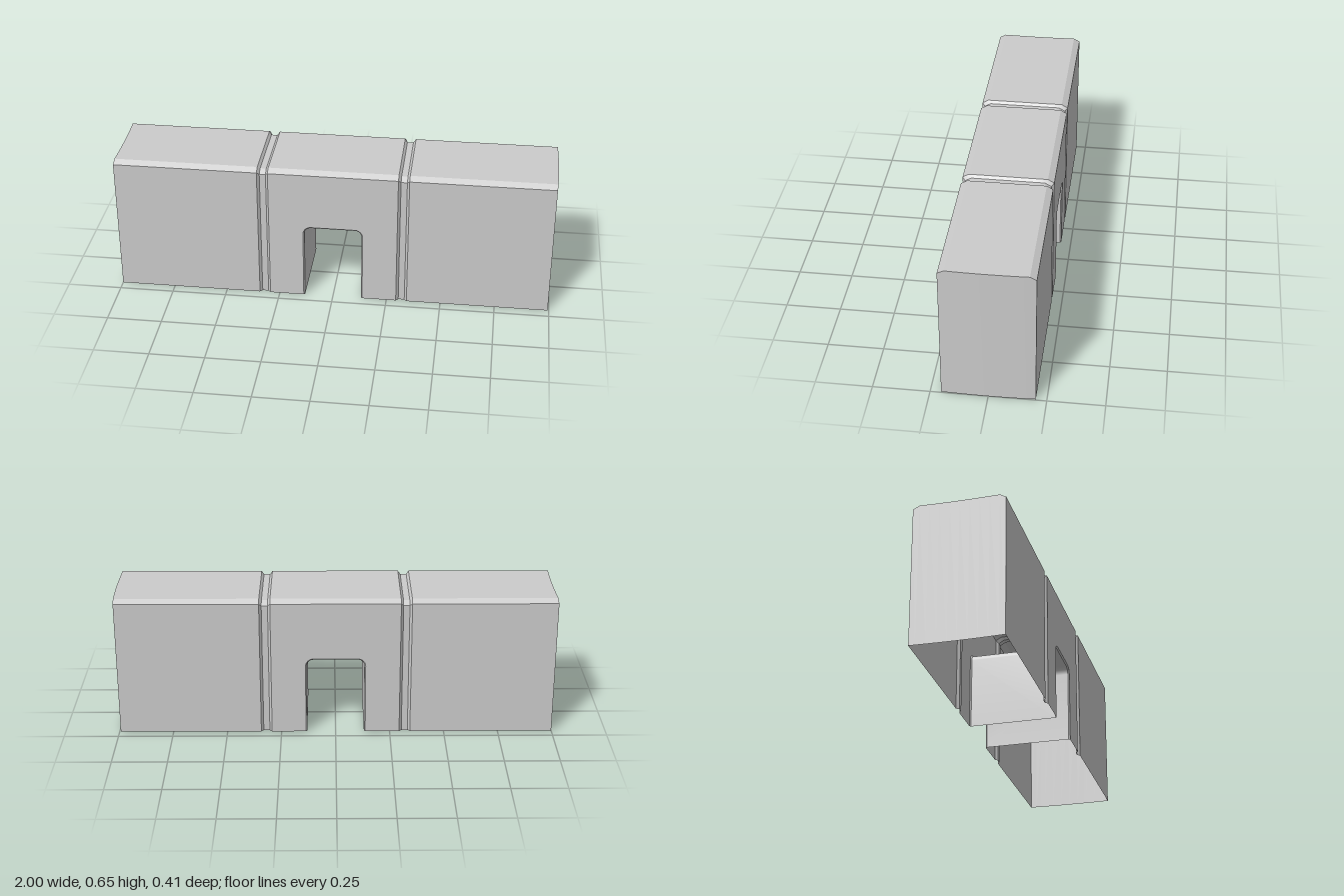
import * as THREE from 'three';
import { toCreasedNormals } from 'three/addons/utils/BufferGeometryUtils.js';

const HALF = 0.203;        // half thickness of the wall
const TOP = 0.651;         // wall height
const SHOULDER = 0.635;    // where the top chamfer starts
const FLAT = 0.175;        // half width of the flat top
const SAG = 0.005;         // bow of the end faces
const GROOVE = [0.294, 0.305, 0.333, 0.344];
const INSET = 0.012;

const material = new THREE.MeshStandardMaterial({ color: 0xcccccc, side: THREE.DoubleSide });

// Skin a grid of points, given as rows of [x, y, z]
function skin(name, rows) {
  const n = rows[0].length;
  const index = [];
  for (let i = 0; i < rows.length - 1; i++) {
    for (let j = 0; j < n - 1; j++) {
      const a = i * n + j, b = a + n;
      index.push(a, b, b + 1, a, b + 1, a + 1);
    }
  }
  const geometry = new THREE.BufferGeometry();
  geometry.setAttribute('position', new THREE.Float32BufferAttribute(rows.flat(2), 3));
  geometry.setIndex(index);
  const mesh = new THREE.Mesh(toCreasedNormals(geometry, 0.45), material);
  mesh.name = name;
  return mesh;
}

// Cross-section of the wall from the front foot over the top to the back foot
function section(x, inset = 0, bow = 0) {
  const points = [[HALF - inset, 0], [HALF - inset, SHOULDER - inset]];
  for (let k = 0; k <= 8; k++) points.push([(FLAT - inset) * (1 - k / 4), TOP - inset]);
  points.push([inset - HALF, SHOULDER - inset], [inset - HALF, 0]);
  return points.map(([z, y]) => [x + bow * (1 - (z / HALF) ** 2), y, z]);
}

// Doorway outline, grown outwards by g
function doorway(g) {
  const r = 0.03 + g, cx = 0.101, cy = 0.331;
  const points = [[-cx - r, 0]];
  for (const side of [-1, 1]) {
    for (let k = 0; k <= 6; k++) {
      const t = (side < 0 ? Math.PI : Math.PI / 2) - (k / 6) * Math.PI / 2;
      points.push([side * cx + r * Math.cos(t), cy + r * Math.sin(t)]);
    }
  }
  points.push([cx + r, 0]);
  return points;
}

export function createModel() {
  const group = new THREE.Group();
  group.name = 'wallWithDoorway';

  // End blocks: one end bows inwards and the other outwards
  const rightEnd = section(-1, 0, SAG);
  const leftEnd = section(1 - SAG, 0, SAG);
  group.add(skin('rightBlock', [rightEnd, section(-GROOVE[3])]));
  group.add(skin('leftBlock', [section(GROOVE[3]), leftEnd]));

  // End faces
  const upper = (ring) => ring.slice(1, -1);
  const foot = (ring) => upper(ring).map(([x, , z]) => [x, 0, z]);
  group.add(skin('rightEndFace', [foot(rightEnd), upper(rightEnd)]));
  group.add(skin('leftEndFace', [upper(leftEnd), foot(leftEnd)]));

  // Grooves running over the wall
  const groove = GROOVE.map((x, i) => [x, i === 1 || i === 2 ? INSET : 0]);
  group.add(skin('leftGroove', groove.map(([x, d]) => section(x, d))));
  group.add(skin('rightGroove', groove.map(([x, d]) => section(-x, d)).reverse()));

  // Top of the middle block
  const w = GROOVE[0];
  group.add(skin('middleTop', [upper(section(-w)), upper(section(w))]));

  // Front and back panels around the doorway
  const bevel = 0.006;
  const outline = [[w, 0], [w, SHOULDER], [-w, SHOULDER], [-w, 0], ...doorway(bevel)];
  const panel = new THREE.ShapeGeometry(
    new THREE.Shape(outline.map(([x, y]) => new THREE.Vector2(x, y))));
  for (const [name, side] of [['frontPanel', 1], ['backPanel', -1]]) {
    const mesh = new THREE.Mesh(panel, material);
    mesh.name = name;
    mesh.position.z = side * HALF;
    mesh.rotation.y = side > 0 ? 0 : Math.PI;
    group.add(mesh);
  }

  // Passage with bevelled rims
  const rims = [[HALF, bevel], [HALF - bevel, 0], [bevel - HALF, 0], [-HALF, bevel]];
  group.add(skin('passage', rims.map(([z, g]) => doorway(g).map(([x, y]) => [x, y, z]))));

  return group;
}
